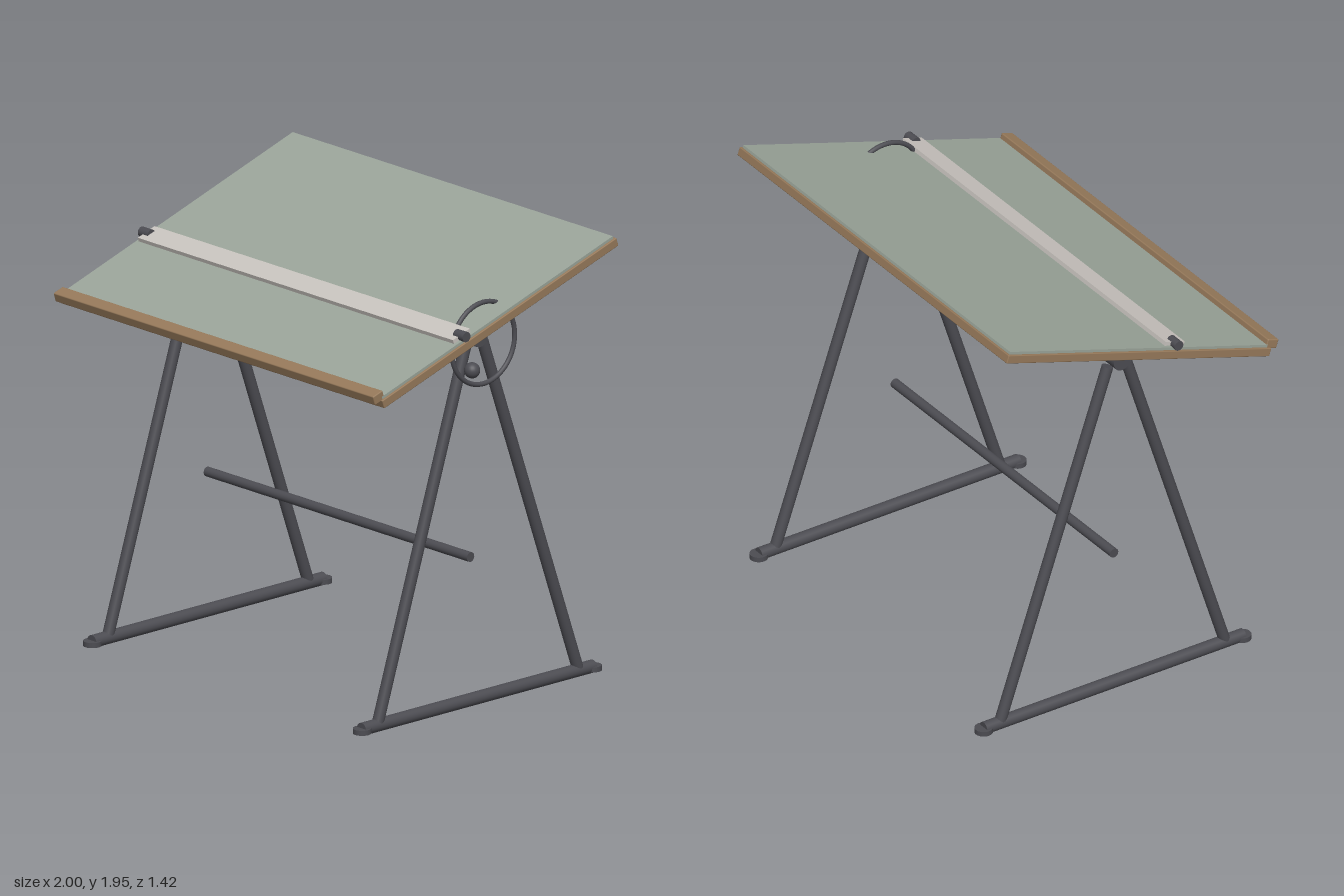
import * as THREE from 'three';
import { RoundedBoxGeometry } from 'three/addons/geometries/RoundedBoxGeometry.js';

export function createModel() {
  const mat = (name, hex) => {
    const m = new THREE.MeshStandardMaterial({ color: hex });
    m.name = name;
    return m;
  };
  const metal = mat('dark metal', 0x4c4c52);
  const wood = mat('wood trim', 0x96795a);
  const surface = mat('green board surface', 0x9aa499);
  const rule = mat('pale rule', 0xc8c3be);

  const root = new THREE.Group();
  root.name = 'draftingTable';

  const add = (parent, name, geo, material, x = 0, y = 0, z = 0) => {
    const m = new THREE.Mesh(geo, material);
    m.name = name;
    m.position.set(x, y, z);
    parent.add(m);
    return m;
  };
  // Round bar between two points
  const bar = (parent, name, a, b, r) => {
    const p = new THREE.Vector3(...a), q = new THREE.Vector3(...b);
    const d = q.clone().sub(p);
    const m = add(parent, name, new THREE.CylinderGeometry(r, r, d.length(), 24), metal);
    m.position.copy(p).add(q).multiplyScalar(0.5);
    m.quaternion.setFromUnitVectors(new THREE.Vector3(0, 1, 0), d.normalize());
    return m;
  };

  // Two A-shaped side stands
  for (const s of [-1, 1]) {
    const stand = new THREE.Group();
    stand.name = s > 0 ? 'leftStand' : 'rightStand';
    stand.position.x = s * 0.83;
    root.add(stand);
    bar(stand, 'baseBar', [0, 0.032, 0.635], [0, 0.032, -0.672], 0.028);
    bar(stand, 'frontLeg', [0, 0.035, 0.545], [0, 1.59, 0.045], 0.025);
    bar(stand, 'backLeg', [0, 0.035, -0.59], [0, 1.59, -0.047], 0.025);
    bar(stand, 'pivotHub', [-0.04, 1.617, 0], [0.04, 1.617, 0], 0.042);
    for (const z of [0.632, -0.672])
      add(stand, 'foot', new THREE.CylinderGeometry(0.039, 0.039, 0.022, 24), metal, 0, 0.026, z);
  }
  bar(root, 'crossBar', [-0.81, 0.645, 0], [0.81, 0.645, 0], 0.021);

  // Adjusting wheel with ball knob
  const wheel = add(root, 'handWheel', new THREE.TorusGeometry(0.178, 0.0105, 12, 64), metal, 0.888, 1.598, 0);
  wheel.rotation.y = Math.PI / 2;
  add(root, 'wheelKnob', new THREE.SphereGeometry(0.034, 24, 16), metal, 0.95, 1.518, 0.12);

  // Tilted board: x across, y out of the surface, z toward the lower edge
  const board = new THREE.Group();
  board.name = 'board';
  board.position.y = 1.708;
  board.rotation.x = THREE.MathUtils.degToRad(18);
  root.add(board);
  add(board, 'panel', new THREE.BoxGeometry(1.97, 0.05, 1.374), surface, 0, 0.006, 0);
  for (const s of [-1, 1]) {
    add(board, 'endTrim', new RoundedBoxGeometry(1.99, 0.038, 0.014, 2, 0.004), wood, 0, 0, s * 0.69);
    add(board, 'sideTrim', new RoundedBoxGeometry(0.014, 0.038, 1.394, 2, 0.004), wood, s * 0.988, 0, 0);
    // Rule clamps
    bar(board, 'ruleClamp', [s * 0.94, 0.044, 0.193], [s, 0.044, 0.193], 0.022);
  }
  add(board, 'pencilLedge', new RoundedBoxGeometry(1.97, 0.042, 0.057, 2, 0.005), wood, 0, 0.034, 0.7025);
  add(board, 'slidingRule', new THREE.BoxGeometry(1.94, 0.018, 0.1), rule, 0, 0.041, 0.193);

  return root;
}
